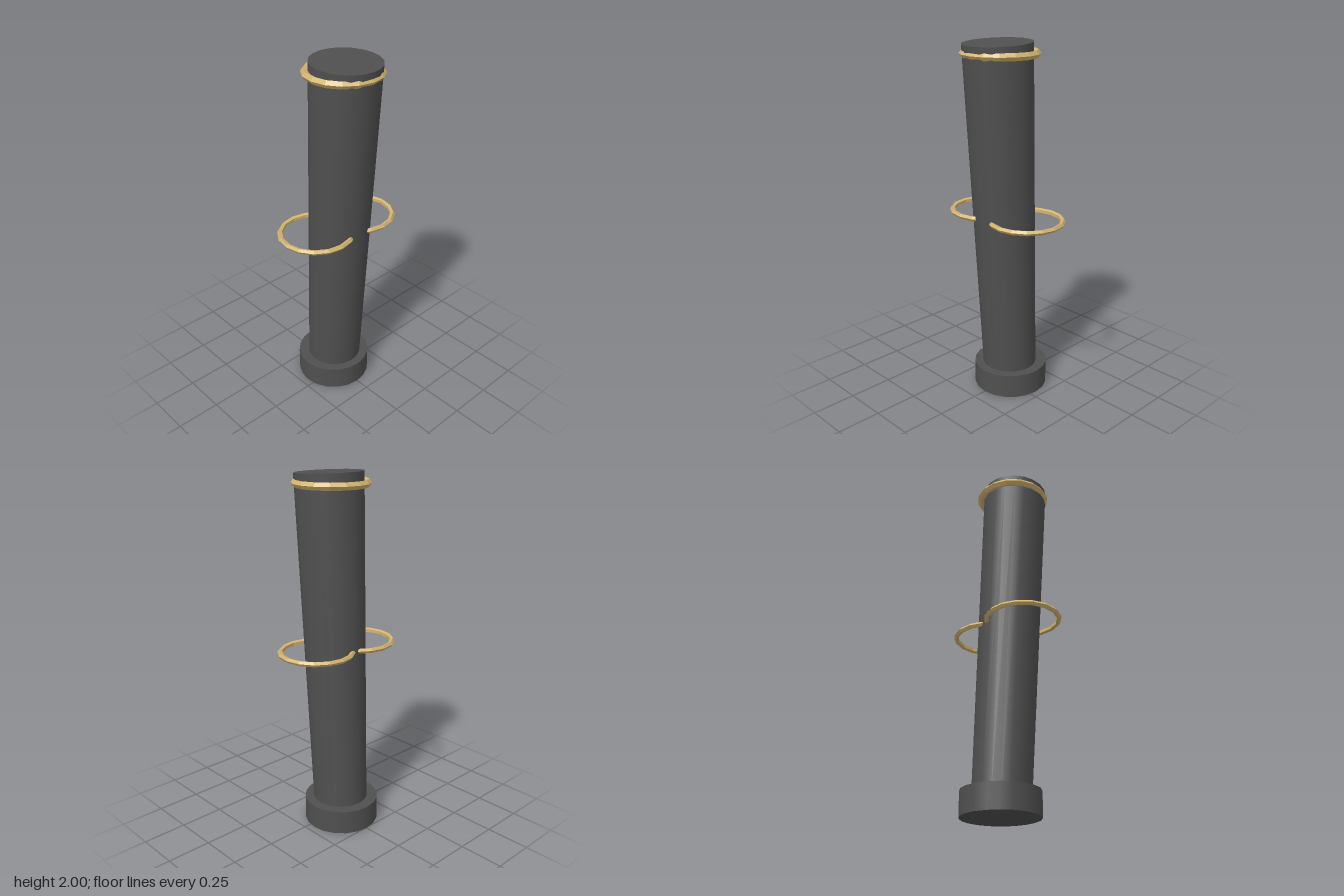
import * as THREE from 'three';

const darkGrey = new THREE.MeshStandardMaterial({ color: 0x505050 });
const gold = new THREE.MeshStandardMaterial({ color: 0xd4b570 });

// Horizontal faceted ring with a five-sided section
function makeRing(name, radius, tube, x, y, z) {
  const geometry = new THREE.TorusGeometry(radius, tube, 5, 16).rotateX(-Math.PI / 2).toNonIndexed();
  geometry.computeVertexNormals();
  const ring = new THREE.Mesh(geometry, gold);
  ring.name = name;
  ring.position.set(x, y, z);
  return ring;
}

export function createModel() {
  const model = new THREE.Group();
  model.name = 'leaningColumn';

  // Upright round foot
  const base = new THREE.Mesh(new THREE.CylinderGeometry(0.211, 0.211, 0.137, 20), darkGrey);
  base.name = 'base';
  base.position.set(-0.042, 0.0685, 0);
  model.add(base);

  // Shaft widens upward and leans to its left, pivoting inside the foot
  const tilt = 0.049, length = 1.943;
  const shaftGeometry = new THREE.CylinderGeometry(0.187, 0.154, length, 20).translate(0, length / 2, 0);
  const shaft = new THREE.Mesh(shaftGeometry, darkGrey);
  shaft.name = 'shaft';
  shaft.position.set(-0.039, 0.05, 0);
  shaft.rotation.z = -tilt;
  model.add(shaft);

  // Rim band and the two side loops that pass into the shaft
  model.add(makeRing('rimRing', 0.192, 0.021, 0.038, 1.935, 0));
  for (const side of [-1, 1]) {
    model.add(makeRing(side > 0 ? 'frontLoop' : 'backLoop', 0.198, 0.0145, -0.008, 1.052, side * 0.155));
  }
  return model;
}
